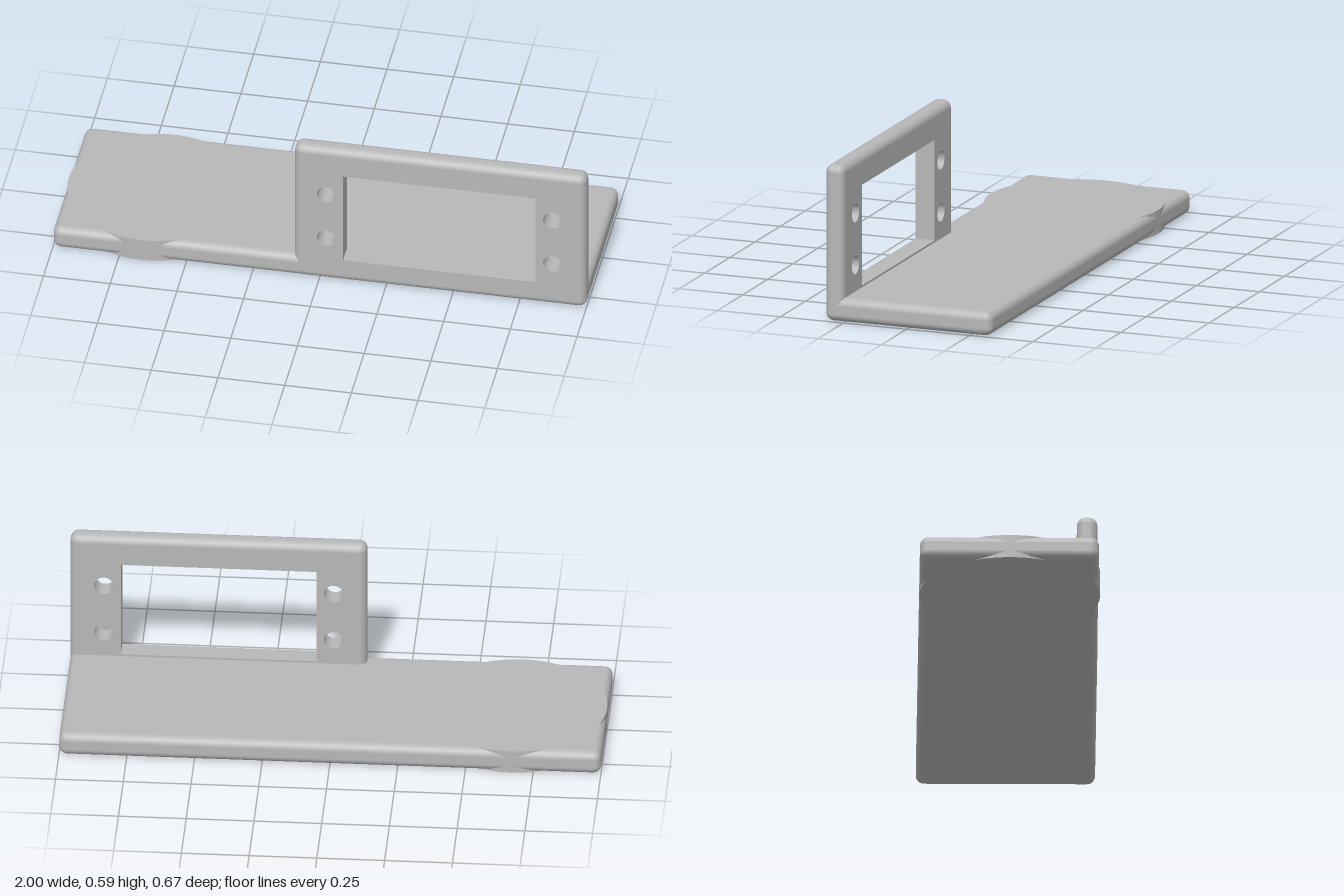
import * as THREE from 'three';
import { RoundedBoxGeometry } from 'three/addons/geometries/RoundedBoxGeometry.js';

const R = 0.03; // edge rounding

// Rounded outer rim around a rectangle: swept half-rounds with spherical corners
function rimGeometry(x0, x1, y0, y1, z0, z1, r, n = 8) {
  const corners = [[x1 - r, y1 - r], [x0 + r, y1 - r], [x0 + r, y0 + r], [x1 - r, y0 + r]];
  const position = [], normal = [], index = [];
  const rows = 2 * (n + 1), cols = 4 * (n + 1);
  corners.forEach(([cx, cy], q) => {
    for (let i = 0; i <= n; i++) {
      const a = (q + i / n) * Math.PI / 2;
      for (let j = 0; j < rows; j++) {
        const front = j > n;
        const p = ((front ? j - n - 1 : j - n) / n) * Math.PI / 2;
        const nx = Math.cos(p) * Math.cos(a), ny = Math.cos(p) * Math.sin(a), nz = Math.sin(p);
        position.push(cx + r * nx, cy + r * ny, (front ? z1 - r : z0 + r) + r * nz);
        normal.push(nx, ny, nz);
      }
    }
  });
  for (let i = 0; i < cols; i++) {
    for (let j = 0; j < rows - 1; j++) {
      const a = i * rows + j, b = ((i + 1) % cols) * rows + j;
      index.push(a, b, b + 1, a, b + 1, a + 1);
    }
  }
  const g = new THREE.BufferGeometry();
  g.setAttribute('position', new THREE.Float32BufferAttribute(position, 3));
  g.setAttribute('normal', new THREE.Float32BufferAttribute(normal, 3));
  g.setIndex(index);
  return g;
}

function rectPath(path, x0, x1, y0, y1) {
  path.moveTo(x0, y0);
  path.lineTo(x1, y0);
  path.lineTo(x1, y1);
  path.lineTo(x0, y1);
  path.closePath();
  return path;
}

export function createModel() {
  const grey = new THREE.MeshStandardMaterial({ color: 0xb8b8b8 });
  grey.name = 'grey plastic';
  const model = new THREE.Group();
  model.name = 'mountingBracket';
  const add = (name, geometry, parent = model) => {
    const mesh = new THREE.Mesh(geometry, grey);
    mesh.name = name;
    parent.add(mesh);
    return mesh;
  };

  // Base plate with rounded edges
  const zBack = -0.333, zFront = 0.326, height = 0.09;
  add('basePlate', new RoundedBoxGeometry(2, height, zFront - zBack, 6, R))
    .position.set(0, height / 2, (zBack + zFront) / 2);

  // Round pad bulging through the plate edges
  add('roundPad', new THREE.CylinderGeometry(0.333, 0.333, height, 96))
    .position.set(-0.667, height / 2, 0);

  // Upright frame: flat panel with window and screw holes, plus rounded rim
  const frame = new THREE.Group();
  frame.name = 'uprightFrame';
  model.add(frame);
  const x0 = -0.095, x1 = 1, y1 = 0.594, z0 = 0.252, z1 = 0.327;
  const panel = rectPath(new THREE.Shape(), x0 + R, x1 - R, R, y1 - R);
  panel.holes.push(rectPath(new THREE.Path(), 0.09, 0.812, 0.098, 0.48));
  for (const x of [0.027, 0.875]) {
    for (const y of [0.19, 0.388]) {
      panel.holes.push(new THREE.Path().absarc(x, y, 0.035, 0, Math.PI * 2, true));
    }
  }
  const panelGeometry = new THREE.ExtrudeGeometry(panel, {
    depth: z1 - z0, bevelEnabled: false, curveSegments: 32,
  });
  add('framePanel', panelGeometry.translate(0, 0, z0), frame);
  add('frameRim', rimGeometry(x0, x1, 0, y1, z0, z1, R), frame);

  return model;
}
